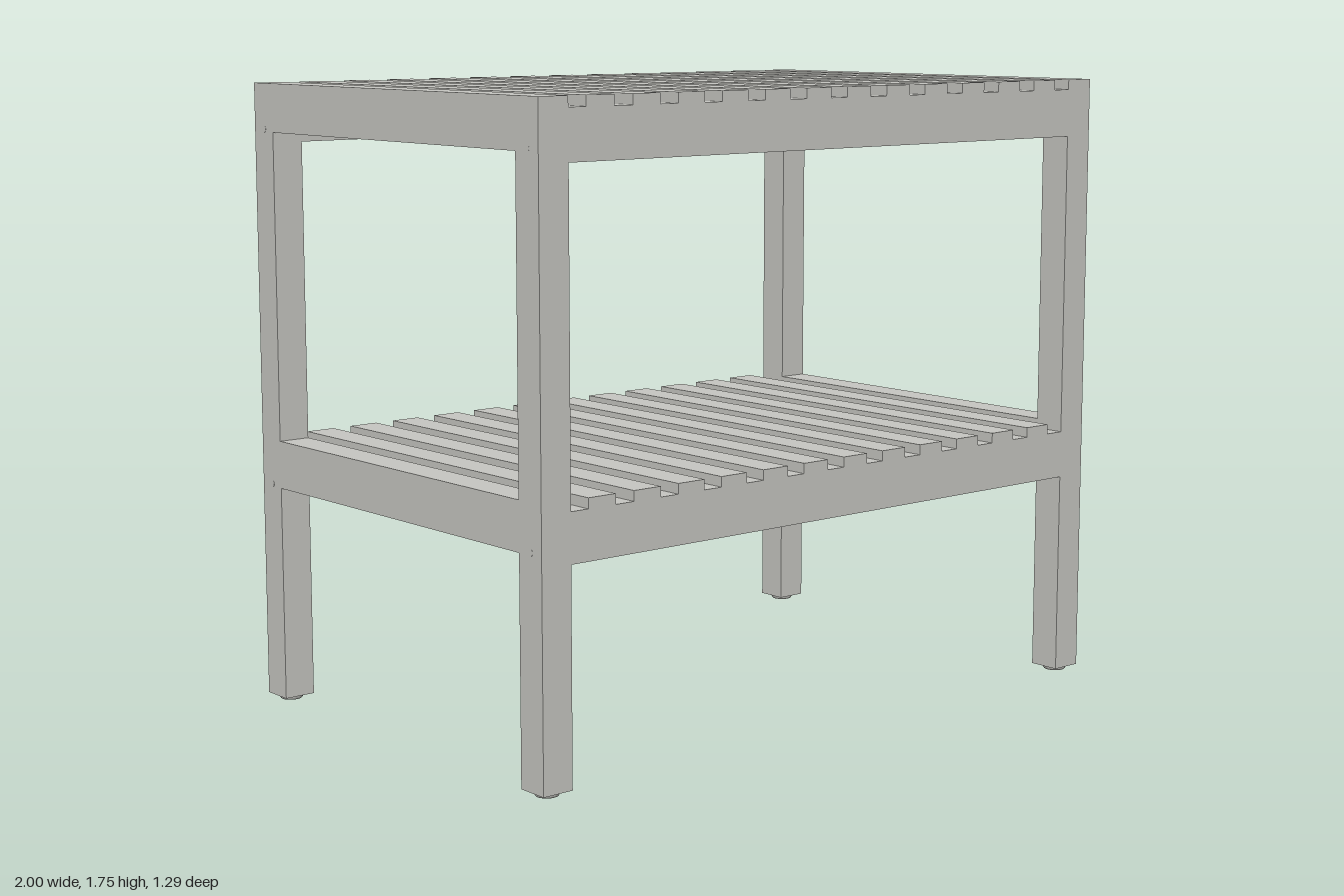
import * as THREE from 'three';

export function createModel() {
  const model = new THREE.Group();
  const wood = new THREE.MeshStandardMaterial({ color: 0xc8c8c3 });
  wood.name = 'pale grey wood';

  const add = (name, geometry, x, y, z) => {
    const mesh = new THREE.Mesh(geometry, wood);
    mesh.name = name;
    mesh.position.set(x, y, z);
    model.add(mesh);
    return mesh;
  };
  // box given by its lower and upper limits on each axis
  const bar = (name, x0, x1, y0, y1, z0, z1) =>
    add(name, new THREE.BoxGeometry(x1 - x0, y1 - y0, z1 - z0),
      (x0 + x1) / 2, (y0 + y1) / 2, (z0 + z1) / 2);

  const X = 1, Z = 0.646, T = 0.092;          // outer half sizes and timber thickness
  const xi = X - T, zi = Z - T;               // inner faces of the legs
  const base = 0.013, top = 1.748, railH = 0.134, slatH = 0.028;
  const shelfTops = [0.754, top];

  // hollow glide under each leg
  const glide = new THREE.LatheGeometry([
    [0.016, base], [0.016, 0], [0.03, 0], [0.034, 0.006], [0.034, base],
  ].map(([r, y]) => new THREE.Vector2(r, y)), 24);

  // screw plug on the outer side faces
  const plug = new THREE.CylinderGeometry(0.01, 0.01, 0.002, 16).rotateZ(Math.PI / 2);

  for (const sx of [-1, 1]) {
    for (const sz of [-1, 1]) {
      const cx = sx * (X - T / 2), cz = sz * (Z - T / 2);
      add('leg', new THREE.BoxGeometry(T, top - base, T), cx, (top + base) / 2, cz);
      add('footGlide', glide, cx, 0, cz);
      for (const y of shelfTops) add('screwPlug', plug, sx * (X - 0.0005), y - 0.126, cz);
    }
  }

  for (const y of shelfTops) {
    const railTop = y - slatH;
    // side rails stand level with the slats, long rails sit beneath them
    for (const s of [-1, 1]) {
      add('sideRail', new THREE.BoxGeometry(T, railH, 2 * zi), s * (X - T / 2), y - railH / 2, 0);
      add('longRail', new THREE.BoxGeometry(2 * xi, railH, T), 0, railTop - railH / 2, s * (Z - T / 2));
    }
    // twelve slats running front to back
    for (let i = 0; i < 12; i++) {
      const x = -0.809 + i * 0.1467;
      bar('slat', x - 0.044, x + 0.044, railTop, y, -Z, Z);
    }
  }

  // centre support under the upper shelf only
  bar('centreRail', -xi, xi, top - slatH - 0.09, top - slatH, -T / 2, T / 2);

  return model;
}
